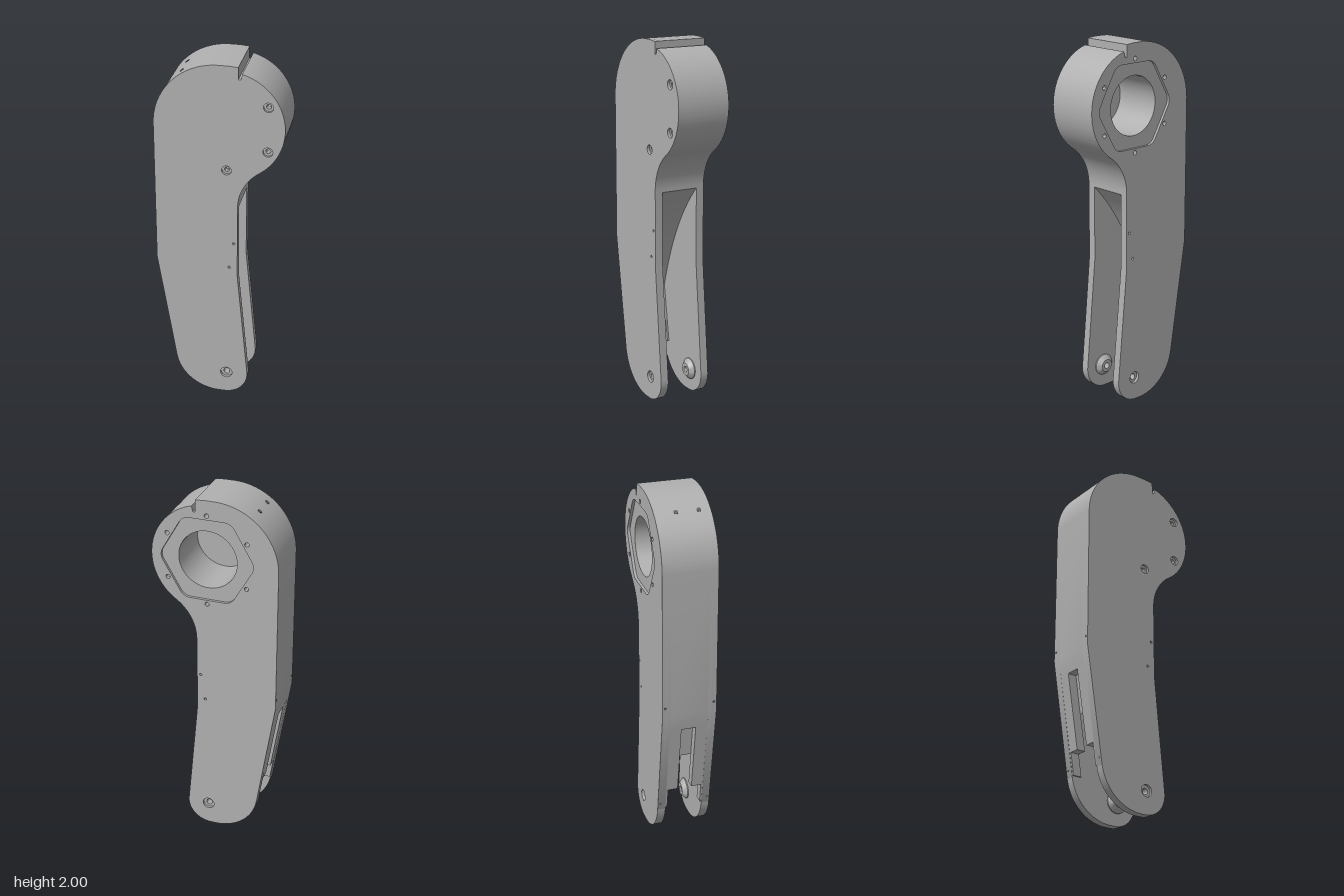
import * as THREE from 'three';
import { toCreasedNormals } from 'three/addons/utils/BufferGeometryUtils.js';

const HUB = [0.04, 1.667];      // centre of the bore
const PIVOT = [0.04, 0.13];     // centre of the lower axle

const circle = ([x, y], r) => new THREE.Path().absarc(x, y, r, 0, Math.PI * 2, false);
const around = (deg, r) => [
  HUB[0] + r * Math.cos(deg * Math.PI / 180),
  HUB[1] + r * Math.sin(deg * Math.PI / 180)];

// Waist, hub circle, stepped lip and large shoulder arc, shared by cheeks and core
function upperOutline(s) {
  s.lineTo(0.1, 1.2);
  s.absarc(0.363, 1.2, 0.263, Math.PI, 2.176, true);
  s.absarc(HUB[0], HUB[1], 0.305, -0.965, 1.305, false);
  s.lineTo(0.113, 1.93);
  s.lineTo(0.1, 1.93);
  s.lineTo(0.1, 1.996);
  s.lineTo(0.05, 2);
  s.absarc(0, 1.653, 0.347, Math.PI / 2, Math.PI, false);
  s.lineTo(-0.347, 0.85);
}

function cheekShape(holes) {
  const s = new THREE.Shape();
  s.moveTo(0.1, 0.78);
  upperOutline(s);
  s.lineTo(-0.247, 0.211);
  s.absarc(0, 0.25, 0.25, Math.PI * 1.05, Math.PI * 1.5, false);
  s.absarc(0.03, 0.13, 0.13, -Math.PI / 2, 0.09, false);
  s.closePath();
  s.holes.push(...holes);
  return s;
}

function coreShape(holes) {
  const s = new THREE.Shape();
  s.moveTo(0.1, 1.19);
  upperOutline(s);
  s.lineTo(-0.331, 0.75);
  s.lineTo(-0.281, 0.75);
  s.lineTo(-0.25, 0.54);
  s.quadraticCurveTo(-0.14, 0.95, 0.1, 1.19);
  s.holes.push(...holes);
  return s;
}

// Hexagon with softened corners
function hexPath(r) {
  const p = new THREE.Path();
  const mix = (a, b, t) => [a[0] + (b[0] - a[0]) * t, a[1] + (b[1] - a[1]) * t];
  for (let i = 0; i < 6; i++) {
    const v = around(i * 60, r);
    const a = mix(v, around(i * 60 - 60, r), 0.15);
    const b = mix(v, around(i * 60 + 60, r), 0.15);
    if (i === 0) p.moveTo(...a); else p.lineTo(...a);
    p.quadraticCurveTo(...v, ...b);
  }
  p.closePath();
  return p;
}

export function createModel() {
  const root = new THREE.Group();
  root.name = 'armLink';
  const grey = new THREE.MeshStandardMaterial({ color: 0xb0b0b0 });
  grey.name = 'grey';
  const dark = new THREE.MeshStandardMaterial({ color: 0x606060 });
  dark.name = 'dark grey';

  const add = (name, geo, mat = grey) => {
    const m = new THREE.Mesh(geo, mat);
    m.name = name;
    root.add(m);
    return m;
  };
  const slab = (name, shape, z0, z1) => {
    const g = new THREE.ExtrudeGeometry(shape, { depth: z1 - z0, bevelEnabled: false, curveSegments: 40 });
    g.translate(0, 0, z0);
    return add(name, toCreasedNormals(g, 0.5));
  };

  const frontScrews = [30, -30, -90].map(a => around(a, 0.25));
  const allScrews = [30, 90, 150, 210, 270, 330].map(a => around(a, 0.25));
  const pins = () => [[0.08, 0.98], [0.055, 0.83]].map(c => circle(c, 0.007));
  const screws = (list, r) => list.map(c => circle(c, r));

  // Front cheek: closed face with counterbored screws, bored layer behind it
  slab('frontCheekFace', cheekShape([
    ...screws(frontScrews, 0.026), circle(PIVOT, 0.033), ...pins()]), 0.135, 0.15);
  slab('frontCheek', cheekShape([
    ...screws(frontScrews, 0.013), circle(PIVOT, 0.017), circle(HUB, 0.16)]), 0.105, 0.135);

  // Back cheek: hexagonal recess around the bore
  slab('backCheekFace', cheekShape([
    ...screws(allScrews, 0.012), circle(PIVOT, 0.033), hexPath(0.262), ...pins()]), -0.15, -0.135);
  slab('backCheek', cheekShape([
    ...screws(allScrews, 0.012), circle(PIVOT, 0.017), circle(HUB, 0.16)]), -0.135, -0.105);

  // Solid core with the curved web above the fork
  slab('core', coreShape([...screws(allScrews, 0.012), circle(HUB, 0.16)]), -0.105, 0.105);

  // Rear wall of the fork, left open by a stepped slot
  const outerX = y => -0.347 + (0.85 - y) * 0.1594;
  const wallShape = (y0, y1) => new THREE.Shape([
    [outerX(y0), y0], [outerX(y0) + 0.05, y0], [outerX(y1) + 0.05, y1], [outerX(y1), y1],
  ].map(p => new THREE.Vector2(...p)));
  for (const side of [1, -1]) {
    const wall = (name, y0, y1, z) =>
      slab(name, wallShape(y0, y1), side > 0 ? z : -0.105, side > 0 ? 0.105 : -z);
    wall('slotWall', 0.34, 0.75, 0.04);
    wall('slotStep', 0.22, 0.34, 0.095);

    // Conical boss around the axle hole
    const profile = [[0.017, 0], [0.06, 0], [0.06, 0.006], [0.036, 0.03], [0.017, 0.03], [0.017, 0]]
      .map(p => new THREE.Vector2(...p));
    const boss = add('axleBoss', toCreasedNormals(new THREE.LatheGeometry(profile, 32), 0.5));
    boss.position.set(PIVOT[0], PIVOT[1], side * 0.105);
    boss.rotation.x = -side * Math.PI / 2;
  }

  // Small holes in the shoulder and the rear edge
  const plug = (x, y, z, r, tilt) => {
    const m = add('edgeHole', new THREE.CylinderGeometry(r, r, 0.006, 16), dark);
    m.position.set(x, y, z);
    m.rotation.z = tilt;
  };
  for (const z of [-0.035, 0.087]) plug(-0.204, 1.932, z, 0.012, 0.631);
  for (const z of [-0.135, 0.135]) {
    plug(-0.346, 0.9, z, 0.007, Math.PI / 2);
    plug(outerX(0.25) + 0.001, 0.25, z, 0.007, Math.PI / 2 + 0.158);
  }
  return root;
}
